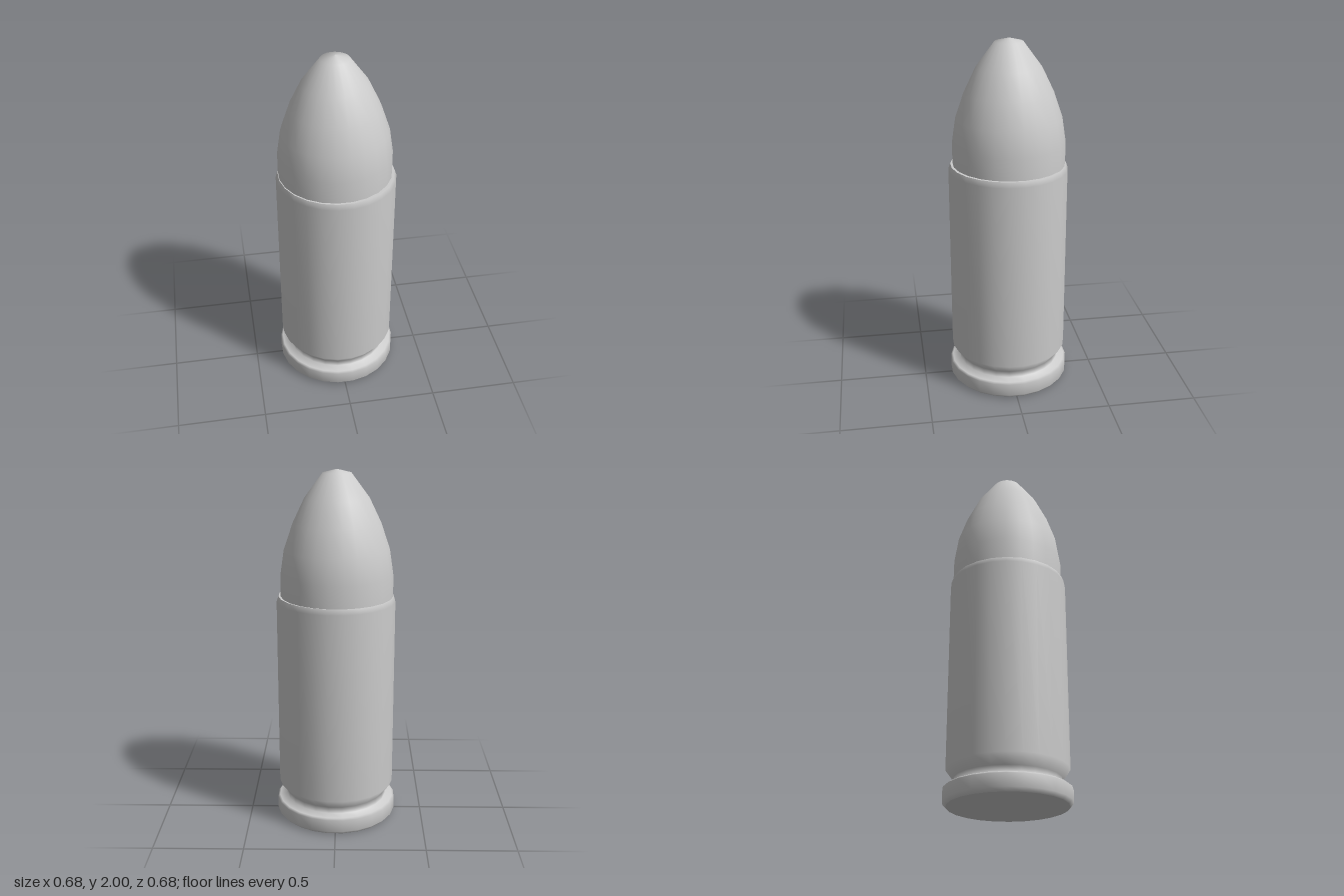
import * as THREE from 'three';

const SIDES = 24;
const material = new THREE.MeshStandardMaterial({ color: 0xcccccc });

// Revolve a bottom-to-top [radius, height] profile, with flat sides facing the axes
function turned(name, profile) {
  const points = profile.map(([r, y]) => new THREE.Vector2(r, y));
  const mesh = new THREE.Mesh(new THREE.LatheGeometry(points, SIDES, Math.PI / SIDES), material);
  mesh.name = name;
  return mesh;
}

export function createModel() {
  const model = new THREE.Group();
  model.name = 'cartridge';

  // Flat underside, kept separate for a sharp edge
  const base = turned('base', [[0, 0], [0.325, 0]]);

  // Rim, extractor groove and straight wall with a bevelled mouth
  const casing = turned('casing', [
    [0.325, 0], [0.344, 0.02], [0.344, 0.09], [0.332, 0.1], [0.29, 0.108],
    [0.29, 0.145], [0.331, 0.2], [0.331, 1.28], [0.32, 1.31],
  ]);

  // Thin flat lip closing the mouth around the bullet
  const lip = turned('mouthLip', [[0.32, 1.31], [0.295, 1.31]]);

  // Rounded nose, seated slightly off axis
  const bullet = turned('bullet', [
    [0.312, 1.28], [0.312, 1.43], [0.291, 1.57], [0.243, 1.71],
    [0.178, 1.845], [0.078, 1.98], [0, 2],
  ]);
  bullet.position.set(-0.005, 0, -0.005);

  model.add(base, casing, lip, bullet);
  return model;
}
